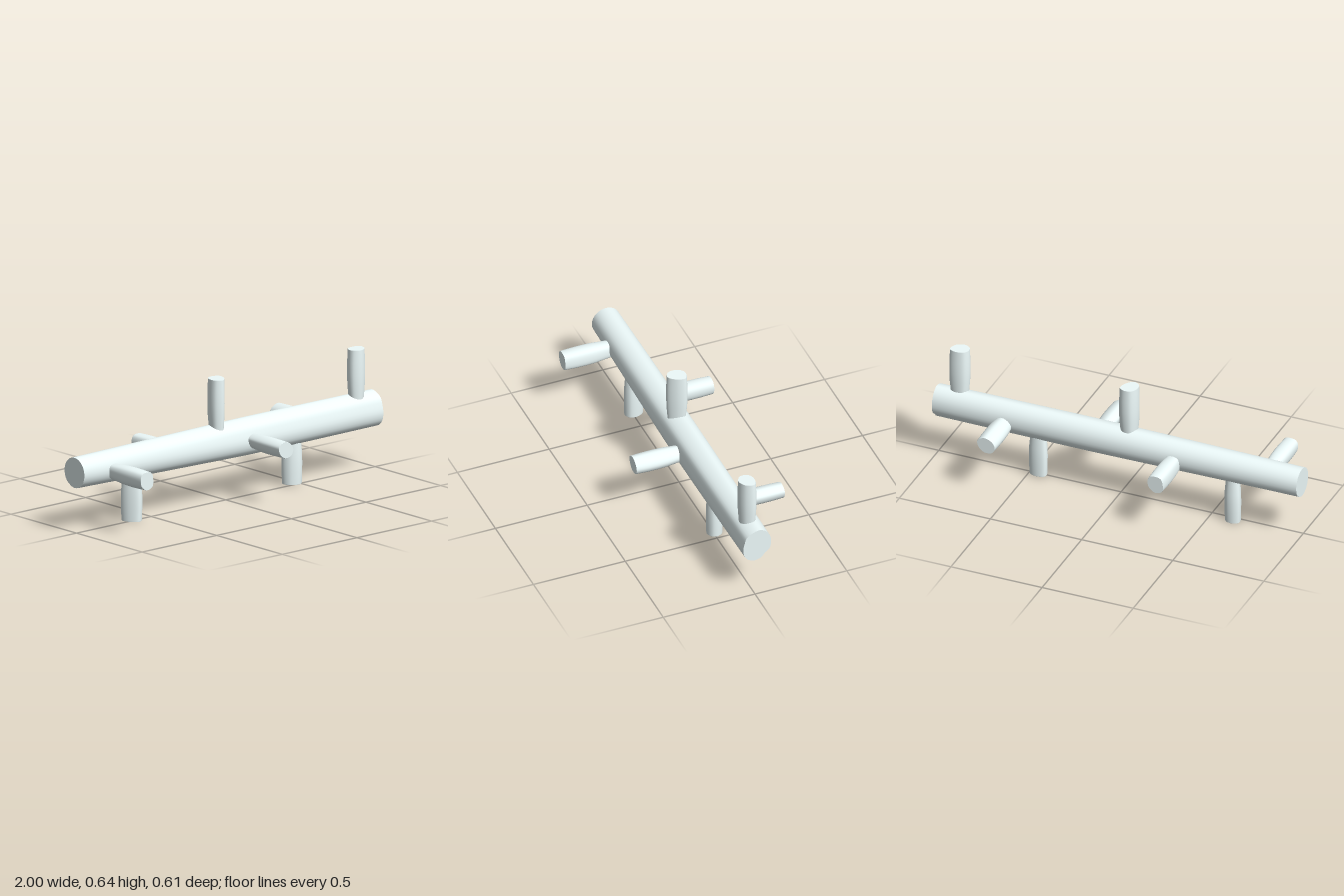
import * as THREE from 'three';

const SIDES = 40;

// Smooth closed outline through a few [x, y] points, counter-clockwise
function outline(points) {
  const curve = new THREE.CatmullRomCurve3(points.map(([x, y]) => new THREE.Vector3(x, y, 0)), true);
  return curve.getPoints(SIDES).slice(0, SIDES);
}

// Skin a row of equal-sized rings along +z and close both ends with flat caps
function loft(rings) {
  const pos = [], index = [];
  rings.forEach(ring => ring.forEach(p => pos.push(p.x, p.y, p.z)));
  for (let r = 0; r < rings.length - 1; r++) {
    for (let i = 0; i < SIDES; i++) {
      const a = r * SIDES + i, b = r * SIDES + (i + 1) % SIDES;
      index.push(a, b, b + SIDES, a, b + SIDES, a + SIDES);
    }
  }
  [rings[0], rings[rings.length - 1]].forEach((ring, end) => {
    const start = pos.length / 3;
    const mid = ring.reduce((s, p) => s.add(p), new THREE.Vector3()).divideScalar(SIDES);
    [mid, ...ring].forEach(p => pos.push(p.x, p.y, p.z));
    for (let i = 0; i < SIDES; i++) {
      const a = start + 1 + i, b = start + 1 + (i + 1) % SIDES;
      index.push(start, end ? a : b, end ? b : a);
    }
  });
  const geo = new THREE.BufferGeometry();
  geo.setAttribute('position', new THREE.Float32BufferAttribute(pos, 3));
  geo.setIndex(index);
  geo.computeVertexNormals();
  return geo;
}

// Trunk: a round end growing into an irregular one, swelling in the middle
function trunkGeometry() {
  const knobbly = outline([
    [0.03, 0.398], [-0.01, 0.39], [-0.043, 0.368], [-0.056, 0.336], [-0.064, 0.29],
    [-0.055, 0.25], [-0.032, 0.225], [0, 0.215], [0.034, 0.225], [0.054, 0.248],
    [0.075, 0.264], [0.087, 0.295], [0.084, 0.341], [0.064, 0.377],
  ]);
  const cx = 0.016, cy = 0.311, rings = [];
  for (let k = 0; k <= 16; k++) {
    const t = k / 16, blend = Math.min(1, 0.15 + 1.5 * t);
    const swell = Math.sin(Math.PI * t);
    rings.push(knobbly.map(p => {
      const angle = Math.atan2(p.y - cy, p.x - cx);
      const x = THREE.MathUtils.lerp(0.076 * Math.cos(angle), p.x - cx, blend);
      const y = THREE.MathUtils.lerp(0.076 * Math.sin(angle), p.y - cy, blend);
      return new THREE.Vector3(cx + x * (1 + 0.09 * swell), cy + y * (1 + 0.03 * swell), 2 * t - 1);
    }));
  }
  return loft(rings);
}

// Branch stub: narrow at the trunk, bulging, slightly tapered at the cut tip
function branchGeometry(points, length) {
  const tip = outline(points), rings = [];
  const profile = [[0.15, 0.86], [0.28, 0.92], [0.45, 1.02], [0.62, 1.05], [0.8, 1.04], [0.992, 0.99], [1, 0.975]];
  profile.forEach(([t, s]) => {
    rings.push(tip.map(p => new THREE.Vector3(p.x * s, p.y * s, t * length)));
  });
  return loft(rings);
}

export function createModel() {
  const model = new THREE.Group();
  const material = new THREE.MeshStandardMaterial({ color: 0xeefbfb });

  const trunk = new THREE.Mesh(trunkGeometry(), material);
  trunk.name = 'trunk';
  trunk.rotation.y = Math.PI / 2;
  model.add(trunk);

  // Cut outlines of the branch stubs
  const tallA = [[0.043, 0], [0.032, 0.033], [0.005, 0.042], [-0.03, 0.035], [-0.042, 0.012],
    [-0.035, -0.03], [0, -0.054], [0.038, -0.04]];
  const wideA = [[0.05, -0.01], [0.034, 0.022], [-0.01, 0.039], [-0.047, 0.017], [-0.041, -0.02],
    [-0.01, -0.046], [0.034, -0.041]];
  const tallB = [[0.043, 0.04], [0.018, 0.057], [-0.02, 0.053], [-0.042, 0.018], [-0.037, -0.024],
    [-0.002, -0.042], [0.036, -0.003]];
  const wideB = [[0.049, 0.014], [0.042, 0.036], [0.006, 0.046], [-0.032, 0.036], [-0.048, 0.008],
    [-0.042, -0.02], [-0.008, -0.038], [0.033, -0.02]];

  // Directions the branches point in
  const H = Math.PI / 2;
  const front = [0, 0, 0], back = [0, Math.PI, 0], up = [-H, 0, 0], down = [H, 0, Math.PI];

  // Branches wind around the trunk in two turns
  const branches = [
    ['frontBranch', -0.797, front, tallA, 0.306], ['lowerBranch', -0.62, down, tallB, 0.3],
    ['backBranch', -0.32, back, tallA, 0.308], ['upperBranch', -0.052, up, tallB, 0.34],
    ['frontBranch', 0.135, front, wideA, 0.306], ['lowerBranch', 0.45, down, wideB, 0.292],
    ['backBranch', 0.61, back, wideA, 0.305], ['upperBranch', 0.88, up, wideB, 0.335],
  ];
  branches.forEach(([name, x, turn, shape, length]) => {
    const branch = new THREE.Mesh(branchGeometry(shape, length), material);
    branch.name = name;
    branch.position.set(x, 0.3, 0);
    branch.rotation.set(...turn);
    model.add(branch);
  });
  return model;
}
